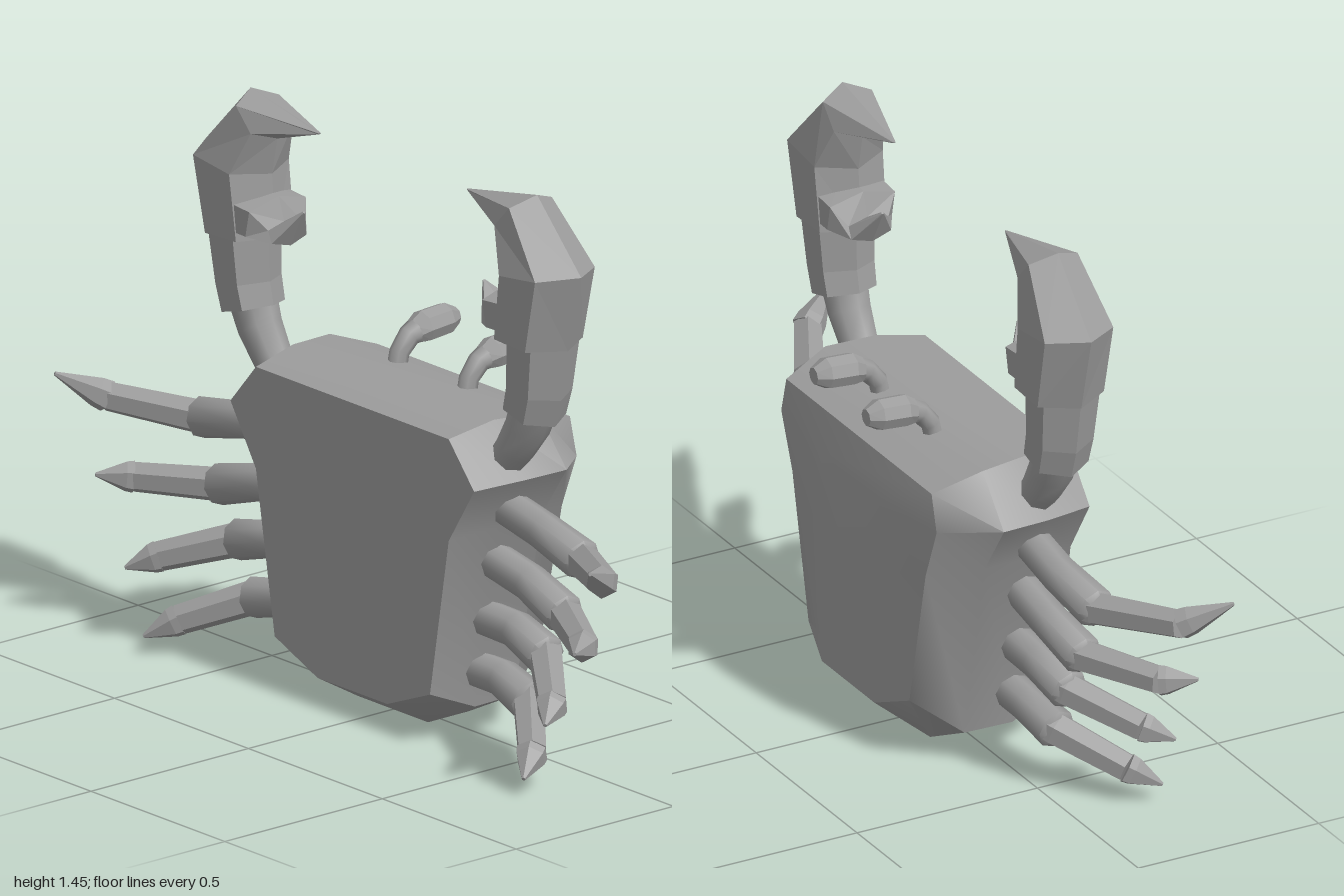
import * as THREE from 'three';
import { toCreasedNormals } from 'three/addons/utils/BufferGeometryUtils.js';

const V = (x, y, z) => new THREE.Vector3(x, y, z);
const centre = (ring) => ring.reduce((s, p) => s.add(p), V(0, 0, 0)).divideScalar(ring.length);

// Skin closed cross-sections in order and cap both ends.
function loft(name, rings, crease) {
  const n = rings[0].length, pos = [];
  const c0 = centre(rings[0]), c1 = centre(rings[rings.length - 1]);
  const area = V(0, 0, 0);
  rings[0].forEach((p, j) => area.add(p.clone().sub(c0).cross(rings[0][(j + 1) % n].clone().sub(c0))));
  const flip = area.dot(centre(rings[1]).sub(c0)) < 0;
  const tri = (a, b, c) => (flip ? [a, c, b] : [a, b, c]).forEach((p) => pos.push(p.x, p.y, p.z));
  for (let j = 0; j < n; j++) {
    const k = (j + 1) % n;
    for (let i = 0; i + 1 < rings.length; i++) {
      tri(rings[i][j], rings[i][k], rings[i + 1][k]);
      tri(rings[i][j], rings[i + 1][k], rings[i + 1][j]);
    }
    tri(c0, rings[0][k], rings[0][j]);
    tri(c1, rings[rings.length - 1][j], rings[rings.length - 1][k]);
  }
  let geo = new THREE.BufferGeometry();
  geo.setAttribute('position', new THREE.Float32BufferAttribute(pos, 3));
  geo.computeVertexNormals();
  if (crease) geo = toCreasedNormals(geo, crease);
  const mesh = new THREE.Mesh(geo, new THREE.MeshStandardMaterial({ color: 0x9c9c9c, flatShading: !crease }));
  mesh.name = name;
  return mesh;
}

// Round limb along points [x, y, z, radius]; ref fixes where the first corner points.
function limb(name, path, ref, sides, crease) {
  const pts = path.map(([x, y, z]) => V(x, y, z));
  const rings = pts.map((p, i) => {
    const t = pts[Math.min(i + 1, pts.length - 1)].clone().sub(pts[Math.max(i - 1, 0)]).normalize();
    const a = ref.clone().addScaledVector(t, -ref.dot(t)).normalize();
    const b = t.clone().cross(a);
    return Array.from({ length: sides }, (_, k) => {
      const w = (k / sides) * Math.PI * 2, r = path[i][3];
      return p.clone().addScaledVector(a, r * Math.cos(w)).addScaledVector(b, r * Math.sin(w));
    });
  });
  return loft(name, rings, crease);
}

// Six-sided claw section between an outer and an inner edge: [ox, oy, ix, iy, halfDepth]
function claw(name, sections, s) {
  return loft(name, sections.map(([ox, oy, ix, iy, w]) =>
    [[0, 0], [0.25, 1], [0.8, 1], [1, 0], [0.8, -1], [0.25, -1]].map(([f, d]) =>
      V(s * (ox + (ix - ox) * f), oy + (iy - oy) * f, 0.038 + d * w))));
}

export function createModel() {
  const crab = new THREE.Group();
  const X = V(1, 0, 0), Y = V(0, 1, 0);

  // Shell: half outlines (bottom to top) from back to front, some points with their own z
  const outlines = [
    [-0.245, [[0.13, 0.13], [0.14, 0.2], [0.16, 0.5], [0.17, 0.65], [0.15, 0.69]]],
    [-0.215, [[0.13, 0.13, -0.245], [0.25, 0.18], [0.33, 0.55], [0.385, 0.69], [0.36, 0.785]]],
    [-0.09, [[0.13, 0], [0.3, 0.085], [0.4, 0.57], [0.495, 0.71], [0.39, 0.83]]],
    [0.04, [[0.13, 0], [0.305, 0.085], [0.4, 0.57], [0.49, 0.71], [0.375, 0.835]]],
    [0.17, [[0.13, 0.075], [0.29, 0.14], [0.36, 0.55], [0.455, 0.7], [0.36, 0.81]]],
  ];
  crab.add(loft('shell', outlines.map(([z, half]) => [
    ...half.map(([x, y, pz = z]) => V(x, y, pz)),
    ...half.slice().reverse().map(([x, y, pz = z]) => V(-x, y, pz)),
  ]), 0.7));

  // Legs: root, bend, knee, ankle, tip
  const legs = [
    [[0.35, 0.635, 0.03], [0.55, 0.595, 0.03], [0.71, 0.565, 0.045], [0.925, 0.588, 0.16], [1.0, 0.65, 0.265]],
    [[0.31, 0.485, 0.03], [0.5, 0.45, 0.03], [0.645, 0.41, 0.045], [0.84, 0.402, 0.15], [0.895, 0.41, 0.225]],
    [[0.27, 0.32, 0.03], [0.45, 0.317, 0.03], [0.575, 0.287, 0.045], [0.735, 0.228, 0.16], [0.785, 0.2, 0.225]],
    [[0.23, 0.18, 0.03], [0.4, 0.18, 0.03], [0.515, 0.155, 0.045], [0.66, 0.085, 0.16], [0.71, 0.045, 0.23]],
  ];

  for (const s of [1, -1]) {
    const side = s > 0 ? 'left' : 'right';
    const m = (p, r) => [s * p[0], p[1], p[2], r];

    legs.forEach(([root, bend, knee, ankle, tip], i) => {
      const g = new THREE.Group();
      g.name = `${side}Leg${i + 1}`;
      const collar = knee.map((v, k) => v + (knee[k] - bend[k]) * 0.1);
      const inner = knee.map((v, k) => v + (knee[k] - ankle[k]) * 0.1);
      g.add(limb('upperLeg', [m(root, 0.046), m(bend, 0.047), m(knee, 0.052), m(collar, 0.036)], Y, 8, 0.9));
      const foot = ankle.map((v, k) => v * 0.8 + tip[k] * 0.2);
      g.add(limb('lowerLeg', [m(inner, 0.042), m(knee, 0.044), m(ankle, 0.038)], Y, 6));
      g.add(limb('foot', [m(ankle, 0.041), m(foot, 0.038), m(tip, 0.005)], Y, 6));
      crab.add(g);
    });

    // Arm and pincer
    const arm = new THREE.Group();
    arm.name = `${side}Arm`;
    arm.add(limb('upperArm', [m([0.4, 0.72, 0.038], 0.045), m([0.455, 0.785, 0.038], 0.05),
      m([0.5, 0.85, 0.038], 0.056), m([0.525, 0.91, 0.038], 0.06)], X, 8, 0.9));
    arm.add(limb('forearm', [m([0.525, 0.895, 0.038], 0.079), m([0.543, 0.96, 0.038], 0.082),
      m([0.557, 1.09, 0.038], 0.09)], X, 6));
    arm.add(claw('pincer', [
      [0.65, 1.08, 0.44, 1.09, 0.092], [0.7, 1.28, 0.455, 1.25, 0.095],
      [0.535, 1.45, 0.435, 1.345, 0.068], [0.275, 1.4, 0.28, 1.395, 0.003],
    ], s));
    arm.add(claw('thumb', [
      [0.56, 1.08, 0.53, 1.21, 0.09], [0.455, 1.08, 0.43, 1.2, 0.09],
      [0.385, 1.085, 0.41, 1.14, 0.055], [0.333, 1.18, 0.338, 1.184, 0.003],
    ], s));
    crab.add(arm);

    // Eye on a stalk bending back
    const eye = new THREE.Group();
    eye.name = `${side}Eye`;
    const e = (y, z, r) => [s * 0.13, y, z, r];
    eye.add(limb('stalk', [e(0.8, -0.08, 0.025), e(0.85, -0.09, 0.025), e(0.885, -0.12, 0.028),
      e(0.9, -0.165, 0.036)], X, 8, 0.9));
    eye.add(limb('eyeball', [e(0.89, -0.135, 0.03), e(0.9, -0.165, 0.041), e(0.905, -0.235, 0.04),
      e(0.905, -0.268, 0.022)], X, 8));
    crab.add(eye);
  }
  return crab;
}
